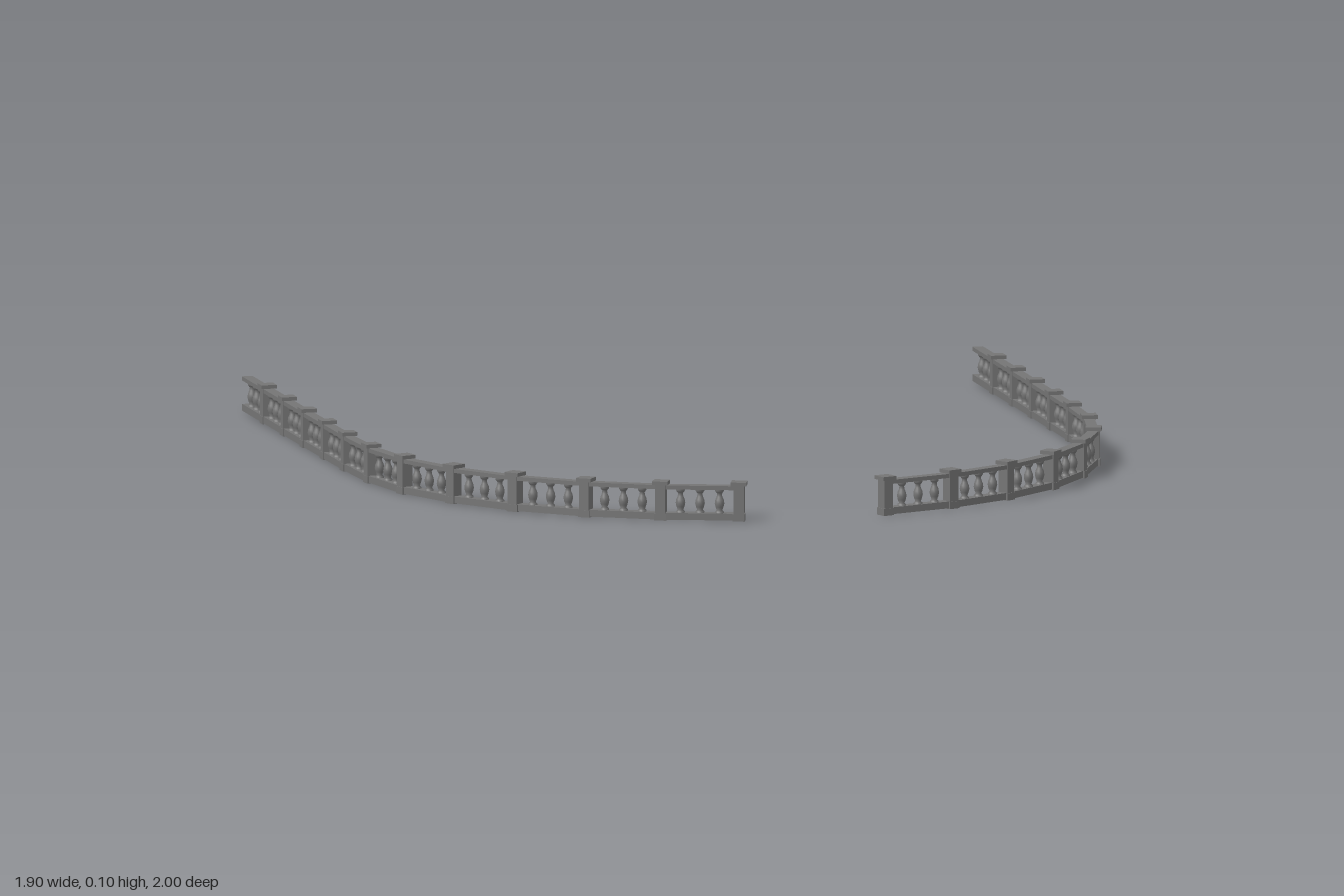
import * as THREE from 'three';

const material = new THREE.MeshStandardMaterial({ color: 0x757575, side: THREE.DoubleSide });

// Post centres (x, z) of the left wing, from the front opening to the back end
const path = [
  [0.187, 0.974], [0.37, 0.91], [0.537, 0.815], [0.684, 0.685], [0.8, 0.526], [0.88, 0.352], [0.917, 0.162],
  [0.926, -0.035], [0.928, -0.226], [0.93, -0.418], [0.931, -0.61], [0.932, -0.806], [0.933, -1],
];
const BALUSTERS = 3;

// Turned baluster between the two rails
const balusterProfile = [
  [0.011, 0.017], [0.011, 0.022], [0.007, 0.026], [0.01, 0.034], [0.012, 0.043], [0.0105, 0.052],
  [0.007, 0.06], [0.006, 0.067], [0.009, 0.071], [0.011, 0.074], [0.011, 0.079],
].map(([r, y]) => new THREE.Vector2(r, y));
const balusterGeometry = new THREE.LatheGeometry(balusterProfile, 16);

function box(name, w, h, l, y) {
  const mesh = new THREE.Mesh(new THREE.BoxGeometry(w, h, l), material);
  mesh.name = name;
  mesh.position.y = y + h / 2;
  return mesh;
}

// Square post with plinth and cap
function makePost() {
  const post = new THREE.Group();
  post.name = 'post';
  post.add(
    box('postPlinth', 0.032, 0.018, 0.03, 0),
    box('postShaft', 0.029, 0.074, 0.026, 0.016),
    box('postCap', 0.039, 0.009, 0.039, 0.089),
  );
  return post;
}

// Rails and balusters of one straight span, running along local z
function makeSpan(length) {
  const span = new THREE.Group();
  span.name = 'span';
  span.add(
    box('bottomRail', 0.026, 0.017, length, 0.002),
    box('topRail', 0.027, 0.01, length, 0.078),
  );
  for (let i = 1; i <= BALUSTERS; i++) {
    const baluster = new THREE.Mesh(balusterGeometry, material);
    baluster.name = 'baluster';
    baluster.position.z = (i / (BALUSTERS + 1) - 0.5) * length;
    span.add(baluster);
  }
  return span;
}

// One wing; side = 1 for left, -1 for right
function makeWing(side) {
  const wing = new THREE.Group();
  wing.name = side > 0 ? 'leftBalustrade' : 'rightBalustrade';
  const points = path.map(([x, z]) => new THREE.Vector2(side * x, z));
  const last = points.length - 1;
  for (let i = 0; i < last; i++) {
    const a = points[i], b = points[i + 1];
    const span = makeSpan(a.distanceTo(b));
    span.position.set((a.x + b.x) / 2, 0, (a.y + b.y) / 2);
    span.rotation.y = Math.atan2(b.x - a.x, b.y - a.y);
    wing.add(span);

    // Each post follows the mean direction of its neighbouring spans
    const before = points[Math.max(i - 1, 0)];
    const post = makePost();
    post.position.set(a.x, 0, a.y);
    post.rotation.y = Math.atan2(b.x - before.x, b.y - before.y);
    wing.add(post);
  }
  return wing;
}

export function createModel() {
  const model = new THREE.Group();
  model.name = 'balustrade';
  model.add(makeWing(1), makeWing(-1));
  return model;
}
